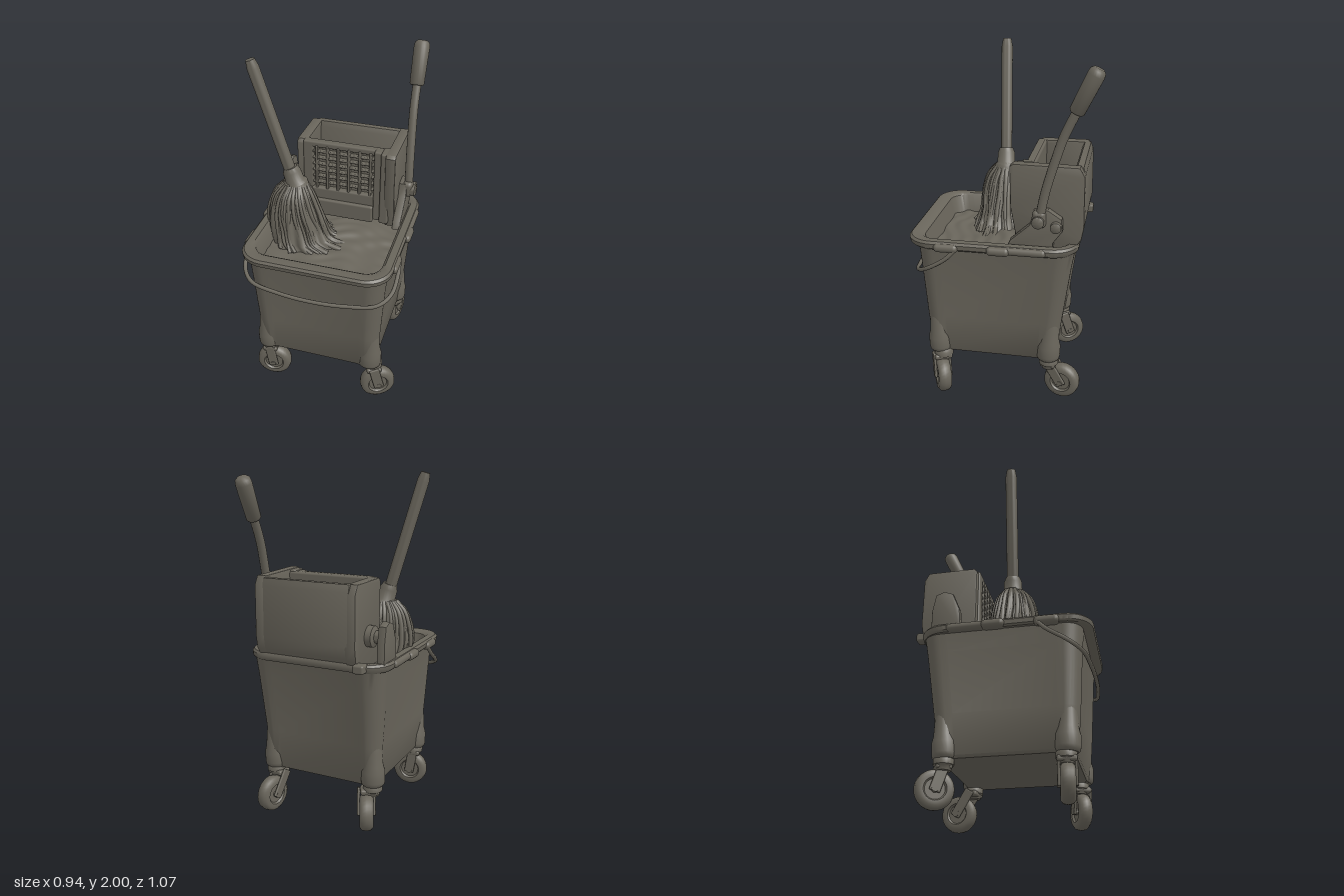
import * as THREE from 'three';
import { toCreasedNormals } from 'three/addons/utils/BufferGeometryUtils.js';
import { RoundedBoxGeometry } from 'three/addons/geometries/RoundedBoxGeometry.js';

const V = (x, y, z) => new THREE.Vector3(x, y, z);
const mat = new THREE.MeshStandardMaterial({ color: 0x69655b });
mat.name = 'warm grey';

function add(parent, name, geo, x = 0, y = 0, z = 0) {
  const m = new THREE.Mesh(geo, mat);
  m.name = name;
  m.position.set(x, y, z);
  parent.add(m);
  return m;
}

// Rounded box given by its minimum and maximum corners
function box(parent, name, [x0, y0, z0], [x1, y1, z1], r = 0.012) {
  return add(parent, name, new RoundedBoxGeometry(x1 - x0, y1 - y0, z1 - z0, 2, r),
    (x0 + x1) / 2, (y0 + y1) / 2, (z0 + z1) / 2);
}

function tube(parent, name, pts, r, seg = 32, sides = 12) {
  return add(parent, name, new THREE.TubeGeometry(new THREE.CatmullRomCurve3(pts), seg, r, sides));
}

// Turned part whose axis runs from a to b; profile holds [radius, fraction of length]
function turned(parent, name, a, b, profile, sides = 24) {
  const len = a.distanceTo(b);
  const geo = new THREE.LatheGeometry(profile.map(([r, t]) => new THREE.Vector2(r, t * len)), sides);
  const m = add(parent, name, toCreasedNormals(geo, 0.8), a.x, a.y, a.z);
  m.quaternion.setFromUnitVectors(V(0, 1, 0), b.clone().sub(a).normalize());
  return m;
}
const ROD = [[0, 0], [1, 0], [1, 0.94], [0.75, 1], [0, 1]];
const rod = (p, n, a, b, r) => turned(p, n, a, b, ROD.map(([k, t]) => [k * r, t]));

// Skin over closed rings listed from bottom to top
function loft(rings, crease = 0.7) {
  const n = rings[0].length, idx = [];
  for (let i = 0; i < rings.length - 1; i++)
    for (let j = 0; j < n; j++) {
      const k = (j + 1) % n, a = i * n + j, b = i * n + k, c = b + n, d = a + n;
      idx.push(a, d, b, b, d, c);
    }
  const g = new THREE.BufferGeometry().setFromPoints(rings.flat());
  g.setIndex(idx);
  g.computeVertexNormals();
  return toCreasedNormals(g, crease);
}

// Rounded rectangle ring at height y; dent sinks the flat sides between the corner columns
function roundRect(y, hx, zFront, zBack, r, dent = 0) {
  const pts = [], cz = (zFront + zBack) / 2, hz = (zFront - zBack) / 2;
  const corners = [[1, 1], [-1, 1], [-1, -1], [1, -1]].map(([sx, sz]) => V(sx * (hx - r), y, cz + sz * (hz - r)));
  corners.forEach((c, q) => {
    for (let i = 0; i <= 8; i++) {
      const t = (q + i / 8) * Math.PI / 2;
      pts.push(V(c.x + r * Math.cos(t), y, c.z + r * Math.sin(t)));
    }
    const t = (q + 1) * Math.PI / 2, out = V(Math.cos(t), 0, Math.sin(t)).multiplyScalar(r - dent);
    for (const f of [0.06, 0.94]) pts.push(c.clone().lerp(corners[(q + 1) % 4], f).add(out));
  });
  return pts;
}

// Plate cut from a [z, y] outline, running from x0 to x1
function sidePlate(parent, name, outline, x0, x1) {
  const s = new THREE.Shape(outline.map(([z, y]) => new THREE.Vector2(z, y)));
  const b = 0.008;
  const g = new THREE.ExtrudeGeometry(s, { depth: x1 - x0 - 2 * b, bevelSize: b, bevelThickness: b, bevelOffset: -b, bevelSegments: 2 });
  g.rotateY(-Math.PI / 2);
  return add(parent, name, toCreasedNormals(g, 0.7), x1 - b, 0, 0);
}

function bucket(root) {
  const g = new THREE.Group();
  g.name = 'bucket';
  root.add(g);
  const profile = [
    [0.26, 0.001, 0.051, 0.049, 0.001], [0.26, 0.345, 0.41, -0.315, 0.06, 0.008], [0.275, 0.362, 0.422, -0.327, 0.07, 0.012],
    [0.5, 0.375, 0.442, -0.352, 0.08, 0.01], [0.85, 0.397, 0.467, -0.4, 0.095, 0.005], [0.955, 0.405, 0.475, -0.417, 0.1],
    [0.955, 0.425, 0.515, -0.427, 0.14],
    [0.965, 0.435, 0.528, -0.436, 0.15], [0.99, 0.437, 0.532, -0.438, 0.15], [1.003, 0.425, 0.52, -0.43, 0.14],
    [1.003, 0.385, 0.465, -0.395, 0.1], [0.99, 0.37, 0.445, -0.38, 0.09], [0.87, 0.347, 0.413, -0.362, 0.08]];
  add(g, 'bucketBody', loft(profile.map(p => roundRect(...p))));
  // Rippled wet surface, heaped a little towards the wringer
  const w = new THREE.PlaneGeometry(0.71, 0.79, 60, 70).rotateX(-Math.PI / 2);
  const p = w.attributes.position;
  for (let i = 0; i < p.count; i++) {
    const x = p.getX(i), z = p.getZ(i);
    const heap = 0.04 * Math.exp(-((x - 0.05) ** 2) / 0.06 - ((z + 0.08) ** 2) / 0.04);
    p.setY(i, heap + 0.003 * Math.sin(z * 75 + 3 * Math.sin(x * 14)) + 0.003 * Math.sin(x * 31 + z * 23 + 2 * Math.sin(z * 17)));
  }
  w.computeVertexNormals();
  add(g, 'wetSurface', w, 0, 0.888, 0.025);
  for (const s of [-1, 1]) {
    // Bulges of the rim that carry the bail
    box(g, 'rimSwell', [s * 0.415 - 0.033, 0.955, -0.27], [s * 0.415 + 0.033, 1.0, 0.0], 0.022);
    box(g, 'rimEar', [s * 0.425 - 0.035, 0.95, -0.07], [s * 0.425 + 0.035, 1.0, 0.06], 0.024);
    box(g, 'bailMount', [s * 0.422 - 0.032, 0.945, 0.22], [s * 0.422 + 0.032, 0.995, 0.36], 0.024);
    // Corner sockets above the casters
    for (const z of [0.367, -0.28])
      turned(g, 'cornerSocket', V(s * 0.32, 0.26, z), V(s * 0.326, 0.56, z + Math.sign(z) * 0.014),
        [[0, 0], [0.056, 0], [0.067, 0.04], [0.069, 0.1], [0.068, 0.3], [0.058, 0.42], [0.05, 0.7], [0.03, 1]]);
  }
  // Swinging wire bail
  const half = [V(0.44, 0.96, 0.24), V(0.447, 0.91, 0.29), V(0.435, 0.84, 0.4), V(0.37, 0.8, 0.47), V(0.2, 0.78, 0.5)];
  tube(g, 'bail', [...half, V(0, 0.773, 0.51), ...half.slice().reverse().map(q => V(-q.x, q.y, q.z))], 0.012, 90, 8);
}

// Swivel caster: stem below a corner, wheel offset and turned by angle
function caster(root, x, z, wx, wz, angle) {
  const g = new THREE.Group();
  g.name = 'caster';
  root.add(g);
  turned(g, 'casterStem', V(x, 0.2, z), V(x, 0.275, z), [[0, 0], [0.04, 0], [0.045, 0.3], [0.056, 0.4], [0.056, 0.8], [0.045, 1], [0, 1]]);
  const h = new THREE.Group();
  h.name = 'wheel';
  h.position.set(wx, 0.108, wz);
  h.rotation.y = angle;
  g.add(h);
  const tyre = [[0, -0.026], [0.054, -0.026], [0.062, -0.038], [0.086, -0.039], [0.102, -0.026], [0.107, 0]];
  const full = [...tyre, ...tyre.slice(0, -1).reverse().map(([r, y]) => [r, -y])];
  const lathe = new THREE.LatheGeometry(full.map(q => new THREE.Vector2(...q)), 32).rotateZ(-Math.PI / 2);
  add(h, 'tyre', toCreasedNormals(lathe, 0.8));
  rod(h, 'axle', V(-0.054, 0, 0), V(0.054, 0, 0), 0.02);
  // Fork legs lean from the stem to the axle
  h.updateMatrix();
  const top = V(x, 0.225, z).applyMatrix4(h.matrix.clone().invert());
  for (const s of [-1, 1]) {
    const leg = box(h, 'forkLeg', [-0.008, 0, -0.03], [0.008, top.length() + 0.03, 0.03], 0.007);
    leg.position.set(s * 0.045, top.y / 2, top.z / 2);
    leg.rotation.x = Math.atan2(top.z, top.y);
  }
  const crown = box(h, 'forkCrown', [-0.053, -0.016, -0.045], [0.053, 0.016, 0.045], 0.012);
  crown.position.set(top.x * 0.5, top.y, top.z);
}

function wringer(root) {
  const g = new THREE.Group();
  g.name = 'wringer';
  root.add(g);
  const back = [[-0.41, 0.97], [-0.45, 1.03], [-0.462, 1.1], [-0.458, 1.39], [-0.43, 1.44]];
  sidePlate(g, 'leftPanel', [[-0.14, 0.95], ...back.map(([z, y]) => [z, y - 0.01]), [-0.15, 1.43], [-0.135, 1.41]].reverse(), -0.29, -0.225);
  sidePlate(g, 'rightPanel', [[-0.1, 0.95], ...back, [-0.07, 1.445], [-0.05, 1.43], [-0.055, 1.2]].reverse(), 0.268, 0.328);
  sidePlate(g, 'backWall', [...back.slice(0, 4), [-0.445, 1.43], [-0.41, 1.43], [-0.395, 1.4], [-0.37, 0.97]].reverse(), -0.25, 0.28);
  box(g, 'pressFloor', [-0.25, 0.98, -0.42], [0.28, 1.08, -0.14]);
  // Front wall with a raised frame and grate
  box(g, 'frontWall', [-0.25, 0.95, -0.18], [0.28, 1.43, -0.148]);
  box(g, 'frameTop', [-0.25, 1.395, -0.17], [0.28, 1.433, -0.125]);
  box(g, 'frameBottom', [-0.2, 1.05, -0.17], [0.22, 1.13, -0.115]);
  box(g, 'dripLedge', [-0.18, 0.95, -0.17], [0.19, 1.06, -0.095]);
  box(g, 'frameLeft', [-0.25, 0.97, -0.17], [-0.185, 1.43, -0.125]);
  box(g, 'frameRight', [0.19, 0.97, -0.17], [0.245, 1.435, -0.1]);
  box(g, 'frameCorner', [0.235, 0.97, -0.17], [0.29, 1.44, -0.075]);
  for (let i = 0; i < 6; i++) {
    const x = -0.165 + i * 0.066;
    box(g, 'grateUpright', [x - 0.008, 1.11, -0.16], [x + 0.008, 1.41, -0.118], 0.006);
  }
  for (let i = 0; i < 6; i++) {
    const y = 1.165 + i * 0.041;
    box(g, 'grateSlat', [-0.19, y - 0.007, -0.16], [0.2, y + 0.007, -0.122], 0.006);
  }
  // Left bracket and pivot
  sidePlate(g, 'leftBracket', [[-0.19, 0.97], [-0.2, 1.1], [-0.24, 1.2], [-0.29, 1.22], [-0.34, 1.2], [-0.36, 1.1], [-0.36, 0.97]].reverse(), -0.415, -0.368);
  turned(g, 'leftPivot', V(-0.38, 1.13, -0.29), V(-0.28, 1.13, -0.29), [[0, 0], [0.035, 0], [0.035, 0.45], [0.06, 0.55], [0.06, 1], [0, 1]]);
  box(g, 'rearHook', [-0.34, 0.96, -0.472], [-0.275, 1.01, -0.4]);
  // Right bracket with its bolts
  sidePlate(g, 'rightBracket', [[-0.04, 0.97], [-0.06, 1.02], [-0.17, 1.12], [-0.19, 1.2], [-0.27, 1.21], [-0.345, 1.16], [-0.35, 1.09], [-0.3, 1.02], [-0.3, 0.97]].reverse(), 0.325, 0.375);
  rod(g, 'pivotBolt', V(0.32, 1.15, -0.22), V(0.425, 1.15, -0.22), 0.034);
  rod(g, 'stopBolt', V(0.32, 1.12, -0.315), V(0.41, 1.12, -0.315), 0.03);
  // Press lever with grip
  box(g, 'leverHub', [0.345, 1.11, -0.26], [0.405, 1.21, -0.185], 0.025);
  tube(g, 'leverArm', [V(0.38, 1.13, -0.22), V(0.372, 1.3, -0.25), V(0.362, 1.5, -0.305), V(0.357, 1.62, -0.345), V(0.354, 1.78, -0.42)], 0.025);
  turned(g, 'leverGrip', V(0.354, 1.74, -0.4), V(0.352, 1.968, -0.508),
    [[0, 0], [0.034, 0], [0.042, 0.04], [0.046, 0.85], [0.042, 0.95], [0.028, 1], [0, 1]]);
}

function mop(root) {
  const g = new THREE.Group();
  g.name = 'mop';
  root.add(g);
  rod(g, 'mopHandle', V(-0.235, 1.26, 0.07), V(-0.447, 1.99, 0.103), 0.034);
  turned(g, 'mopFerrule', V(-0.215, 1.22, 0.068), V(-0.258, 1.36, 0.074),
    [[0, 0], [0.07, 0], [0.07, 0.3], [0.055, 0.4], [0.052, 0.8], [0.04, 1], [0, 1]]);
  // Yarn rows [y, centre x, centre z, radius x, radius z], kept clear of the bucket wall
  const rows = [[0.875, -0.16, 0.06, 0.24, 0.19], [0.93, -0.2, 0.075, 0.185, 0.165], [1.0, -0.22, 0.08, 0.17, 0.14],
    [1.1, -0.235, 0.083, 0.147, 0.128], [1.2, -0.24, 0.08, 0.112, 0.102], [1.26, -0.23, 0.072, 0.07, 0.065], [1.29, -0.23, 0.07, 0.01, 0.01]];
  const limit = [-0.325, -0.34, -0.4, -0.42, -0.42, -0.42, -0.42];
  const at = (row, t, k) => {
    const [y, cx, cz, rx, rz] = rows[row];
    return V(Math.max(cx + rx * k * Math.cos(t), limit[row]), y, cz + rz * k * Math.sin(t));
  };
  // Yarn mass with ridged surface
  const yarn = rows.map((_, i) => Array.from({ length: 96 }, (_, j) => {
    const t = j / 96 * Math.PI * 2;
    return at(i, t, 1 + 0.05 * Math.sin(t * 16 + i * 0.5) + 0.03 * Math.sin(t * 7 - i));
  }));
  add(g, 'yarnMass', loft(yarn, 1.2));
  // Loose strands falling and spreading over the wet surface
  let seed = 7;
  const rnd = () => (seed = (seed * 16807) % 2147483647) / 2147483647;
  for (let i = 0; i < 40; i++) {
    const t = (i + rnd()) / 40 * Math.PI * 2, w = (rnd() - 0.5) * 0.4;
    const end = at(0, t + w * 1.2, 0.92 + rnd() * 0.2);
    end.y = 0.893;
    const path = [at(5, t, 0.9), at(4, t + w * 0.3, 0.95 + rnd() * 0.06), at(3, t + w * 0.4, 0.97 + rnd() * 0.05),
      at(2, t + w, 0.97 + rnd() * 0.05), at(1, t + w, 0.98), end];
    tube(g, 'yarnStrand', path, 0.008 + rnd() * 0.006, 18, 6);
  }
}

export function createModel() {
  const root = new THREE.Group();
  root.name = 'mopBucket';
  bucket(root);
  caster(root, 0.335, 0.35, 0.368, 0.352, 0.45 - Math.PI / 2);
  caster(root, -0.32, 0.36, -0.302, 0.36, 0.15 - Math.PI / 2);
  caster(root, 0.32, -0.285, 0.305, -0.365, -0.2);
  caster(root, -0.32, -0.285, -0.305, -0.335, 0.45);
  wringer(root);
  mop(root);
  return root;
}
